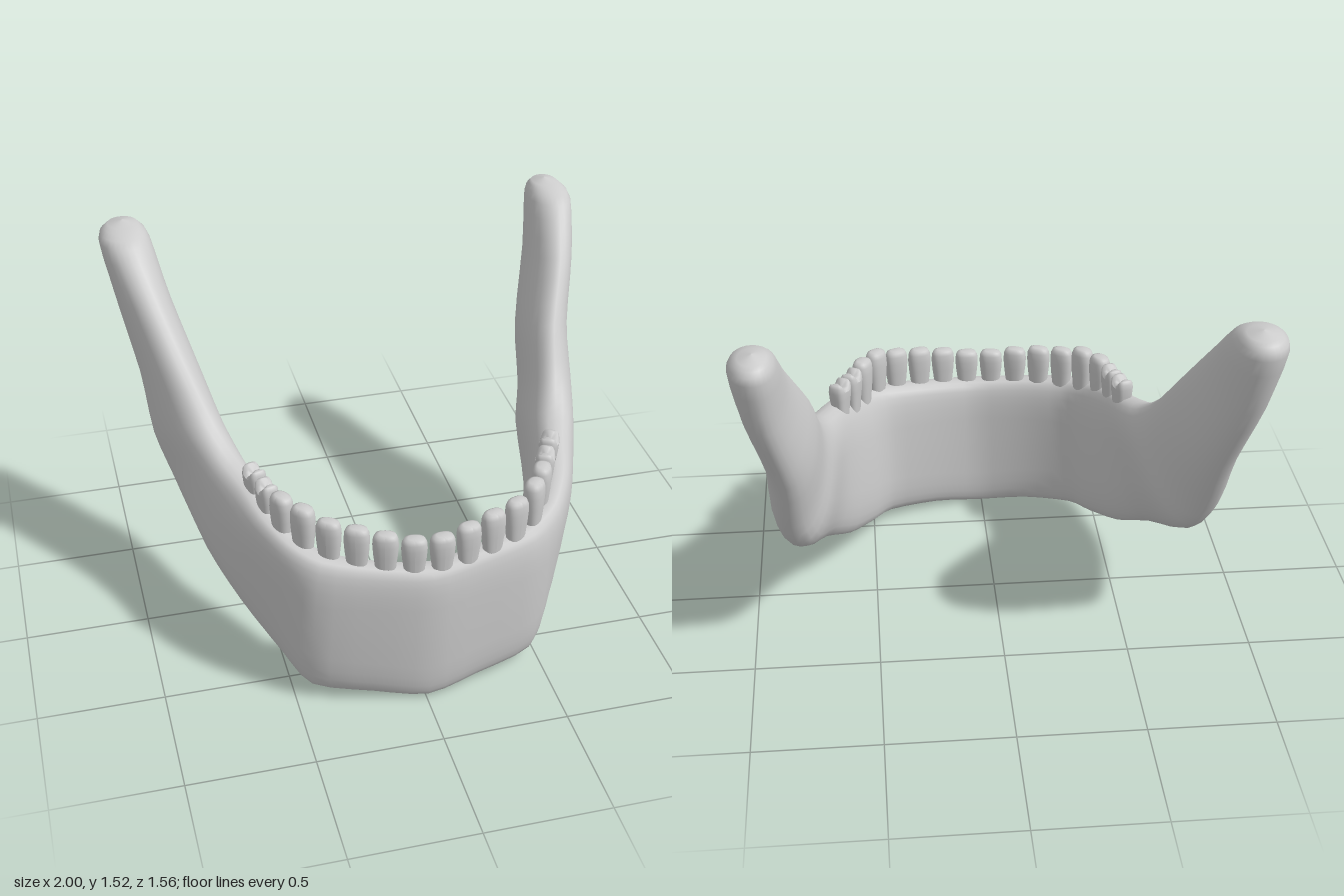
import * as THREE from 'three';

// Cross-sections of one side, from the tip to the chin:
// top edge x,y,z | bottom edge x,y,z | outward half thickness x,z | extra spread of the left side
const SECTIONS = [
  [0.90, 1.505, -0.61, 0.90, 1.50, -0.74, 0.06, 0, 0],
  [0.90, 1.46, -0.50, 0.90, 1.44, -0.78, 0.102, 0, 0.007],
  [0.84, 1.28, -0.33, 0.87, 1.19, -0.715, 0.105, 0, 0.025],
  [0.765, 1.07, -0.16, 0.81, 0.88, -0.575, 0.113, 0, 0.025],
  [0.70, 0.90, -0.03, 0.79, 0.63, -0.455, 0.12, 0, 0.06],
  [0.64, 0.81, 0.09, 0.75, 0.475, -0.35, 0.108, 0.015, 0.085],
  [0.585, 0.77, 0.22, 0.68, 0.30, -0.02, 0.092, 0.025, 0.095],
  [0.54, 0.73, 0.38, 0.585, 0.17, 0.20, 0.08, 0.035, 0.09],
  [0.47, 0.69, 0.52, 0.485, 0.085, 0.43, 0.06, 0.055, 0.08],
  [0.37, 0.66, 0.615, 0.41, 0.04, 0.59, 0.04, 0.07, 0.055],
  [0.18, 0.635, 0.68, 0.20, 0.025, 0.67, 0.01, 0.067, 0.03],
  [0, 0.62, 0.715, 0, 0, 0.71, 0, 0.067, 0.02],
];

// Tooth row path x, z; gum and crown heights from the back tooth to the front one
const TOOTH_PATH = [
  [-0.56, 0.24], [-0.49, 0.455], [-0.35, 0.60], [0, 0.72],
  [0.27, 0.68], [0.45, 0.60], [0.62, 0.305],
];
const TOOTH_HEIGHTS = [
  [0.74, 0.855], [0.72, 0.85], [0.69, 0.85], [0.67, 0.845],
  [0.655, 0.815], [0.645, 0.80], [0.635, 0.78], [0.625, 0.76],
];

const squash = (v, p) => Math.sign(v) * Math.abs(v) ** p;

// Mirrors a section to one side; the left is spread a little and its upper branch is slimmer and lower
function placeSection([tx, ty, tz, bx, by, bz, nx, nz, spread], side) {
  const left = side > 0;
  const slim = left && ty > 0.85 ? 0.87 : 1;
  const drop = left && ty > 1.4 ? 0.015 : 0;
  const shift = left ? spread : 0;
  return {
    top: new THREE.Vector3(side * tx + shift, ty - drop, tz),
    bottom: new THREE.Vector3(side * bx + shift * 0.5, by - drop, bz),
    thick: new THREE.Vector3(side * nx * slim, 0, nz),
  };
}

function jawGeometry() {
  const right = SECTIONS.slice(0, -1).map((s) => placeSection(s, -1));
  const left = SECTIONS.map((s) => placeSection(s, 1)).reverse();
  const sections = [...right, ...left];
  const curve = (key) => new THREE.CatmullRomCurve3(
    sections.map((s) => s[key]), false, 'catmullrom', 0.4);
  const top = curve('top'), bottom = curve('bottom'), thick = curve('thick');
  const rows = (sections.length - 1) * 3, sides = 28;
  const pos = [], index = [];

  // Rings, boxy at the chin and oval up the branches; an extra row at each end shrinks to a point
  for (let i = -1; i <= rows + 1; i++) {
    const t = THREE.MathUtils.clamp(i / rows, 0, 1);
    const size = i < 0 || i > rows ? 0 : 1;
    const power = THREE.MathUtils.lerp(0.5, 0.95, Math.min(1, Math.abs(t - 0.5) * 2.8));
    const a = top.getPoint(t), b = bottom.getPoint(t), n = thick.getPoint(t);
    const mid = a.clone().add(b).multiplyScalar(0.5);
    const half = a.clone().sub(b).multiplyScalar(0.5);
    if (!size) mid.y += 0.014;
    for (let j = 0; j < sides; j++) {
      const angle = (j / sides) * Math.PI * 2;
      const p = mid.clone()
        .addScaledVector(half, squash(Math.sin(angle), power) * size)
        .addScaledVector(n, squash(Math.cos(angle), power) * size);
      pos.push(p.x, p.y, p.z);
    }
  }
  for (let i = 0; i < rows + 2; i++) {
    for (let j = 0; j < sides; j++) {
      const k = (j + 1) % sides, p = i * sides, q = p + sides;
      index.push(p + j, q + j, p + k, q + j, q + k, p + k);
    }
  }
  const g = new THREE.BufferGeometry();
  g.setAttribute('position', new THREE.Float32BufferAttribute(pos, 3));
  g.setIndex(index);
  g.computeVertexNormals();
  return g;
}

// A slightly bulging oval crown; molars are squarer, with two ridges and a groove across
function toothGeometry(width, height, depth, molar) {
  const profile = [
    [0.72, -0.06], [0.82, 0], [0.94, height * 0.35], [1, height * 0.65],
    [0.95, height * 0.85], [0.8, height * 0.96], [0.5, height], [0, height],
  ].map(([r, y]) => new THREE.Vector2(r, y));
  const g = new THREE.LatheGeometry(profile, 24);
  const p = g.attributes.position;
  const power = molar ? 0.65 : 0.85;
  for (let i = 0; i < p.count; i++) {
    const x = p.getX(i), y = p.getY(i), z = p.getZ(i);
    const r = Math.hypot(x, z), angle = Math.atan2(z, x);
    if (molar && y > height * 0.8) {
      p.setY(i, y - 0.035 * (1 - Math.min(1, Math.abs(x) * 2)));
    }
    p.setX(i, r * squash(Math.cos(angle), power) * width / 2);
    p.setZ(i, r * squash(Math.sin(angle), power) * depth / 2);
  }
  g.computeVertexNormals();
  return g;
}

function toothName(rank) {
  if (rank < 2) return 'molar';
  if (rank < 5) return 'premolar';
  return rank === 5 ? 'canine' : 'incisor';
}

export function createModel() {
  const model = new THREE.Group();
  model.name = 'lowerJaw';
  const material = new THREE.MeshStandardMaterial({ color: 0xcccccc });

  const bone = new THREE.Mesh(jawGeometry(), material);
  bone.name = 'jawBone';
  model.add(bone);

  // Teeth evenly spaced along the arch, each turned to face outward
  const teeth = new THREE.Group();
  teeth.name = 'teeth';
  const path = new THREE.CatmullRomCurve3(TOOTH_PATH.map(([x, z]) => new THREE.Vector3(x, 0, z)));
  const count = TOOTH_HEIGHTS.length * 2;
  for (let i = 0; i < count; i++) {
    const rank = Math.min(i, count - 1 - i);
    const [gum, crown] = TOOTH_HEIGHTS[rank];
    const at = path.getPointAt(i / (count - 1));
    const along = path.getTangentAt(i / (count - 1));
    const depth = rank < 4 ? 0.078 : 0.07;
    const tooth = new THREE.Mesh(toothGeometry(0.1, crown - gum, depth, rank < 2), material);
    tooth.name = toothName(rank);
    tooth.position.set(at.x, gum, at.z);
    tooth.rotation.y = Math.atan2(-along.z, along.x);
    teeth.add(tooth);
  }
  model.add(teeth);
  return model;
}
